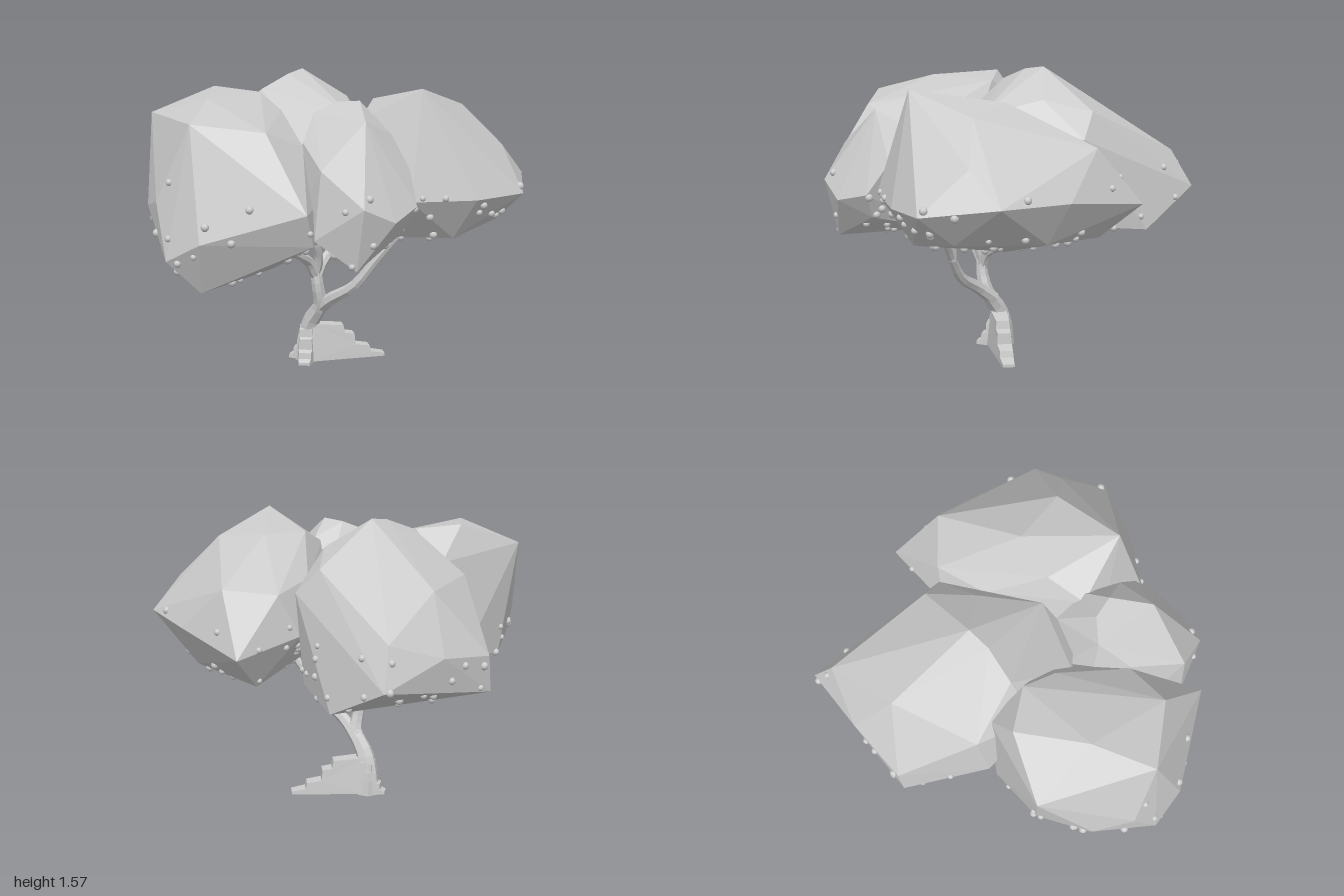
import * as THREE from 'three';
import { ConvexGeometry } from 'three/addons/geometries/ConvexGeometry.js';

const V = (p) => new THREE.Vector3(...p);
const flat = () => new THREE.MeshStandardMaterial({ color: 0xcccccc, flatShading: true });
const smooth = new THREE.MeshStandardMaterial({ color: 0xcccccc });

// Corner points of the four faceted foliage masses
const LOBES = {
  frontRightFoliage: [
    [-0.95, 1.38, 0.32], [-0.66, 1.5, 0.13], [-0.62, 1.47, 0.5], [-0.42, 1.47, 0.12], [-0.64, 1.38, 0.83],
    [-0.28, 1.34, 0.8], [-0.13, 1.25, 0.6], [-0.06, 0.98, 0.98], [-0.57, 0.83, 0.99], [-0.59, 0.57, 0.87],
    [-0.82, 1.0, 0.79], [-0.91, 0.95, 0.6], [-0.88, 0.8, 0.58], [-0.75, 0.73, 0.91], [-0.58, 1.32, -0.01],
    [-0.7, 0.8, 0.05], [-0.28, 0.64, 0.6], [-0.08, 0.76, 0.42], [-0.86, 0.77, 0.3], [-0.04, 0.82, 0.92],
    [-0.4, 0.73, 0.08], [-0.03, 1.0, 0.5], [-0.17, 1.15, 0.2], [-0.29, 1.39, 0.25],
  ],
  backRightFoliage: [
    [-0.24, 1.57, -0.19], [-0.3, 1.55, -0.08], [-0.44, 0.9, -1], [-0.44, 1.1, -0.88], [-0.03, 1.36, -0.48],
    [-0.88, 0.76, -0.4], [-0.87, 0.95, -0.42], [-0.7, 1.27, -0.04], [-0.72, 0.95, 0.02], [0.1, 1.23, -0.45],
    [0.13, 1.14, -0.18], [0.07, 1.34, 0.1], [0, 1.16, 0.28], [-0.2, 1.22, 0.32], [-0.42, 1.48, 0.06],
    [-0.14, 0.71, -0.77], [0.06, 0.76, -0.45], [0.05, 0.77, 0.12], [-0.55, 0.78, 0.08], [-0.6, 1.28, -0.5],
    [0, 1.42, -0.22], [-0.68, 1, -0.7], [-0.5, 1.25, 0.2], [-0.13, 0.9, 0.3],
  ],
  leftFoliage: [
    [0.44, 1.52, 0.4], [0.32, 0.95, -0.77], [0.45, 1.25, -0.55], [0.18, 1.22, -0.48], [0.95, 1.03, -0.15],
    [0.95, 0.98, 0.25], [0.63, 1.41, 0.04], [0.84, 1.2, 0.02], [0.72, 0.97, 0.43], [0.4, 0.98, 0.58],
    [0.08, 1.0, -0.43], [0.03, 1.08, 0.1], [0.17, 1.44, 0.1], [0.35, 1.45, -0.08], [0.28, 0.76, -0.55],
    [0.82, 0.82, 0.1], [0.6, 0.76, 0.35], [0.5, 0.72, -0.1], [0.2, 0.73, 0.2], [0.7, 1.02, -0.45],
    [0.65, 0.8, -0.33], [0.25, 0.78, 0.45], [0.12, 1.35, 0.3], [0.09, 1.25, -0.2], [0.06, 1.05, 0.4],
  ],
  frontFoliage: [
    [0.13, 1.46, 0.42], [-0.1, 1.4, 0.42], [0.02, 1.45, 0.38], [0.04, 1.25, 0.18], [0.16, 1.37, 0.29],
    [0.18, 1.38, 0.64], [0.29, 1.3, 0.45], [-0.13, 1.27, 0.6], [-0.17, 1.15, 0.42], [-0.12, 0.98, 0.74],
    [-0.04, 0.84, 0.88], [0.2, 1.0, 0.92], [0.34, 0.92, 0.81], [0.43, 0.97, 0.63], [0.39, 1.13, 0.52],
    [0.16, 0.69, 0.86], [0.36, 0.84, 0.62], [-0.06, 0.78, 0.5], [0.12, 0.74, 0.35], [-0.01, 1.17, 0.86],
    [-0.12, 1.1, 0.27],
  ],
};

// Tapering limb along a smooth path
function limb(name, points, r0, r1) {
  const curve = new THREE.CatmullRomCurve3(points.map(V));
  const rows = 14, sides = 7;
  const geo = new THREE.TubeGeometry(curve, rows, 1, sides, false);
  const pos = geo.attributes.position, v = new THREE.Vector3();
  for (let i = 0; i < pos.count; i++) {
    const t = Math.floor(i / (sides + 1)) / rows;
    const c = curve.getPointAt(t);
    v.fromBufferAttribute(pos, i).sub(c).multiplyScalar(r1 + (r0 - r1) * (1 - t) ** 1.5).add(c);
    pos.setXYZ(i, v.x, Math.max(0.005, v.y), v.z);
  }
  const mesh = new THREE.Mesh(geo, flat());
  mesh.name = name;
  return mesh;
}

// Stepped root: a stair profile extruded, narrowing towards its tip
function root(name, length, height, width, angle, origin) {
  const stairs = [[0, 1], [0.4, 0.94], [0.42, 0.72], [0.56, 0.68], [0.57, 0.38], [0.78, 0.32], [0.8, 0.15], [1, 0.08], [1, 0]];
  const shape = new THREE.Shape([new THREE.Vector2(-0.02, 0), new THREE.Vector2(-0.02, height),
    ...stairs.map(([a, b]) => new THREE.Vector2(a * length, b * height))]);
  const geo = new THREE.ExtrudeGeometry(shape, { depth: width, bevelEnabled: false });
  geo.translate(0, 0, -width / 2);
  const pos = geo.attributes.position;
  for (let i = 0; i < pos.count; i++) {
    const along = Math.max(0, pos.getX(i) / length), up = pos.getY(i) / height;
    pos.setZ(i, pos.getZ(i) * (1 - 0.5 * along) * (1 - 0.35 * up));
  }
  geo.rotateY(angle);
  geo.translate(...origin);
  geo.computeVertexNormals();
  const mesh = new THREE.Mesh(geo, flat());
  mesh.name = name;
  return mesh;
}

function seeded(seed) {
  return () => (seed = (seed * 16807) % 2147483647) / 2147483647;
}

// Outward planes of a convex shape, with its triangles
function facesOf(geo) {
  const pos = geo.attributes.position, faces = [];
  for (let i = 0; i < pos.count; i += 3) {
    const tri = new THREE.Triangle(...[0, 1, 2].map((k) => new THREE.Vector3().fromBufferAttribute(pos, i + k)));
    faces.push({ tri, area: tri.getArea(), plane: tri.getPlane(new THREE.Plane()) });
  }
  return faces;
}

export function createModel() {
  const tree = new THREE.Group();
  tree.name = 'tree';

  // Foliage
  const foliage = new THREE.Group();
  foliage.name = 'foliage';
  const hulls = Object.entries(LOBES).map(([name, pts]) => {
    const geo = new ConvexGeometry(pts.map(V));
    const mesh = new THREE.Mesh(geo, flat());
    mesh.name = name;
    foliage.add(mesh);
    return facesOf(geo);
  });
  tree.add(foliage);

  // Berries scattered over the lower, exposed foliage
  const berries = new THREE.Group();
  berries.name = 'berries';
  const rand = seeded(4711);
  const berryGeo = new THREE.SphereGeometry(0.02, 10, 8);
  hulls.forEach((faces, h) => {
    const total = faces.reduce((s, f) => s + f.area, 0);
    const wanted = [38, 52, 52, 20][h];
    for (let tries = 0, made = 0; made < wanted && tries < 2000; tries++) {
      let pick = rand() * total, k = 0;
      while (k < faces.length - 1 && (pick -= faces[k].area) > 0) k++;
      const { a, b, c } = faces[k].tri;
      const s = Math.sqrt(rand()), t = rand();
      const p = a.clone().multiplyScalar(1 - s).addScaledVector(b, s * (1 - t)).addScaledVector(c, s * t);
      const buried = hulls.some((o, j) => j !== h && o.every((f) => f.plane.distanceToPoint(p) < 0));
      if (buried || p.y > 0.9 + 0.25 * rand()) continue;
      const berry = new THREE.Mesh(berryGeo, smooth);
      berry.name = 'berry';
      berry.position.copy(p);
      berry.scale.setScalar(0.75 + 0.35 * rand());
      berries.add(berry);
      made++;
    }
  });
  tree.add(berries);

  // Trunk and branches
  tree.add(
    limb('trunk', [[-0.19, 0, 0.03], [-0.19, 0.12, 0.03], [-0.17, 0.22, 0.05], [-0.11, 0.33, 0.1], [-0.12, 0.44, 0.13], [-0.13, 0.54, 0.13]], 0.07, 0.03),
    limb('leftBranch', [[-0.13, 0.29, 0.07], [-0.05, 0.37, 0.14], [0.08, 0.46, 0.21], [0.19, 0.6, 0.24], [0.27, 0.7, 0.25], [0.36, 0.8, 0.24]], 0.04, 0.02),
    limb('leftTwig', [[0.18, 0.58, 0.235], [0.2, 0.68, 0.22], [0.22, 0.8, 0.16]], 0.025, 0.016),
    limb('frontBranch', [[-0.13, 0.5, 0.13], [-0.16, 0.58, 0.18], [-0.21, 0.64, 0.28], [-0.28, 0.7, 0.36], [-0.32, 0.78, 0.41]], 0.032, 0.018),
    limb('middleBranch', [[-0.13, 0.5, 0.13], [-0.11, 0.6, 0.16], [-0.12, 0.68, 0.2], [-0.16, 0.8, 0.24]], 0.028, 0.018),
    limb('backBranch', [[-0.13, 0.48, 0.13], [-0.1, 0.56, 0.1], [-0.05, 0.62, -0.03], [-0.06, 0.67, -0.18], [-0.1, 0.78, -0.32]], 0.034, 0.018),
  );

  // Stepped roots around the foot
  tree.add(
    root('longRoot', 0.385, 0.2, 0.13, 0.3, [-0.15, 0.01, 0.04]),
    root('sideRoot', 0.12, 0.18, 0.11, Math.PI, [-0.17, 0.01, 0.02]),
    root('frontRoot', 0.13, 0.19, 0.12, -Math.PI / 2, [-0.19, 0.005, 0.04]),
  );
  return tree;
}
